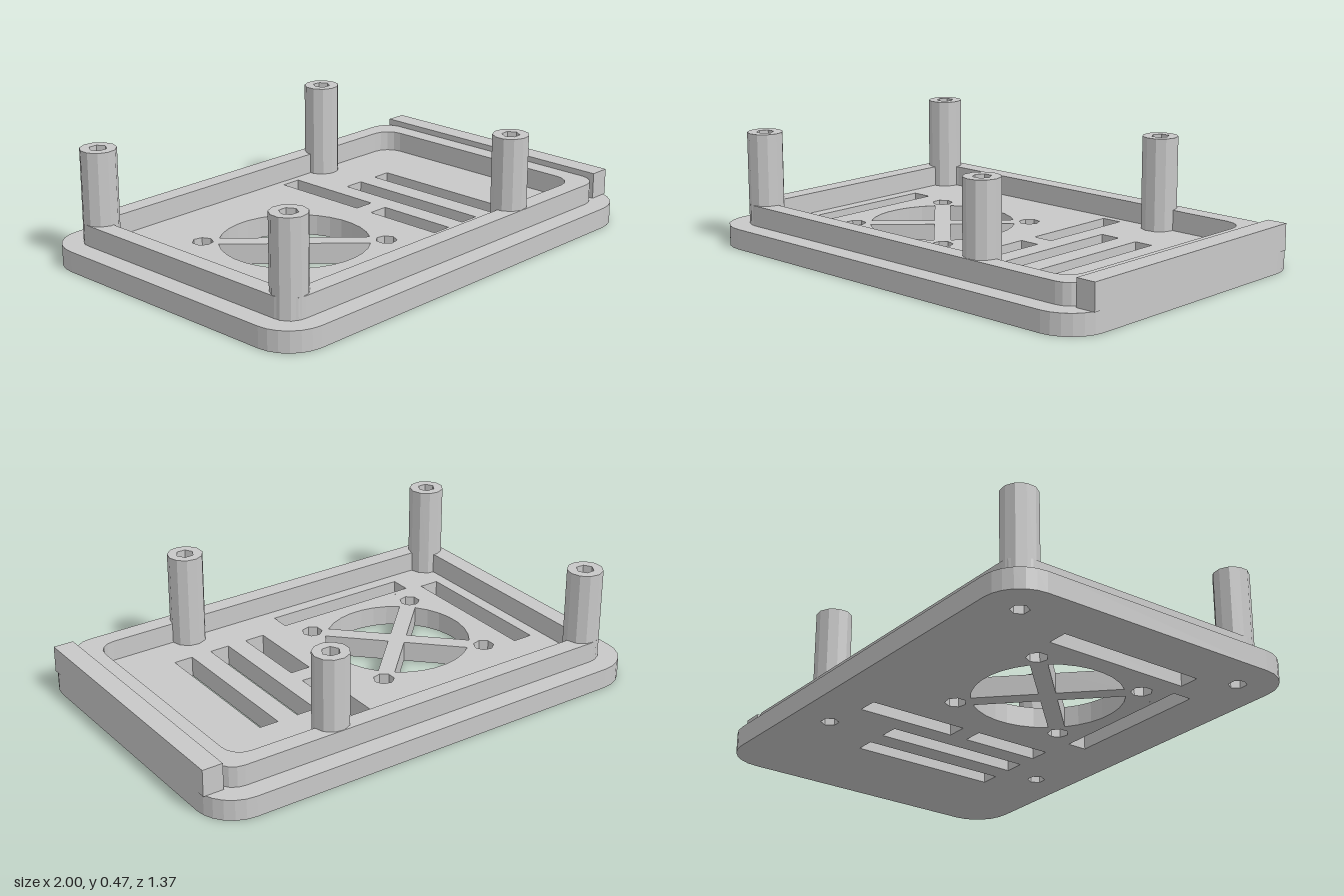
import * as THREE from 'three';

const gray = new THREE.MeshStandardMaterial({ color: 0xc8c8c8 });
gray.name = 'plain gray';

const PLATE_TOP = 0.086;

// Outlines are drawn in plan: x stays x, shape y is -z.
// Reversing keeps them counter-clockwise after the flip, so hole walls face into the holes.
const outline = (pts, Kind = THREE.Path) =>
  new Kind(pts.map(([x, z]) => new THREE.Vector2(x, -z)).reverse());

function polygon(cx, cz, r, sides) {
  return Array.from({ length: sides }, (_, i) => {
    const a = (i / sides) * Math.PI * 2;
    return [cx + r * Math.cos(a), cz + r * Math.sin(a)];
  });
}

function roundedRect(hx, hz, r, steps) {
  const pts = [];
  [[1, 1], [-1, 1], [-1, -1], [1, -1]].forEach(([sx, sz], q) => {
    for (let i = 0; i <= steps; i++) {
      const a = (q + i / steps) * Math.PI / 2;
      pts.push([sx * (hx - r) + r * Math.cos(a), sz * (hz - r) + r * Math.sin(a)]);
    }
  });
  return pts;
}

const rect = (x0, x1, z0, z1) => [[x0, z0], [x1, z0], [x1, z1], [x0, z1]];

// One quarter opening of the fan grille, bounded by two diagonal bars
function fanSector(cx, cz, r, halfBar, quarter) {
  const pts = [[halfBar, halfBar]];
  const a0 = Math.asin(halfBar / r), a1 = Math.PI / 2 - a0, steps = 7;
  for (let i = 0; i <= steps; i++) {
    const a = a0 + (a1 - a0) * i / steps;
    pts.push([r * Math.cos(a), r * Math.sin(a)]);
  }
  const t = Math.PI / 4 + quarter * Math.PI / 2;
  const c = Math.cos(t), s = Math.sin(t);
  return pts.map(([u, v]) => [cx + u * c - v * s, cz + u * s + v * c]);
}

// Upright slab from a plan outline with holes
function slab(name, pts, holes, y0, y1) {
  const shape = outline(pts, THREE.Shape);
  shape.holes = holes.map((h) => outline(h));
  const geo = new THREE.ExtrudeGeometry(shape, { depth: y1 - y0, bevelEnabled: false });
  geo.rotateX(-Math.PI / 2);
  geo.translate(0, y0, 0);
  const mesh = new THREE.Mesh(geo, gray);
  mesh.name = name;
  return mesh;
}

export function createModel() {
  const model = new THREE.Group();
  model.name = 'ventedCaseLid';

  const posts = [];
  for (const x of [-0.841, 0.407]) for (const z of [-0.527, 0.527]) posts.push([x, z]);

  // Base plate openings: vent slots, fan grille, fan screws, post holes
  const holes = [
    rect(-0.786, -0.70, -0.28, 0.366),
    rect(-0.632, 0.011, 0.388, 0.473),
    rect(0.138, 0.225, -0.495, -0.061),
    rect(0.138, 0.225, 0.019, 0.366),
    rect(0.31, 0.396, -0.28, 0.366),
    rect(0.485, 0.567, -0.28, 0.366),
  ];
  const fanX = -0.311, fanZ = 0.021;
  for (let q = 0; q < 4; q++) holes.push(fanSector(fanX, fanZ, 0.302, 0.034, q));
  for (const sx of [-1, 1]) for (const sz of [-1, 1]) {
    holes.push(polygon(fanX + sx * 0.258, fanZ + sz * 0.257, 0.043, 7));
  }
  for (const [x, z] of posts) holes.push(polygon(x, z, 0.037, 6));
  model.add(slab('basePlate', roundedRect(1, 0.687, 0.16, 6), holes, 0, PLATE_TOP));

  // Raised lip that locates the lid inside the case
  model.add(slab('lip', roundedRect(0.914, 0.602, 0.08, 4),
    [roundedRect(0.838, 0.527, 0.08, 4)], PLATE_TOP, 0.172));

  // Hollow mounting posts
  for (const [x, z] of posts) {
    model.add(slab('mountingPost', polygon(x, z, 0.074, 11),
      [polygon(x, z, 0.037, 6)], PLATE_TOP, 0.474));
  }

  // Tall bar along the left end
  model.add(slab('endBar', rect(0.914, 1, -0.58, 0.58), [], PLATE_TOP, 0.196));

  return model;
}
